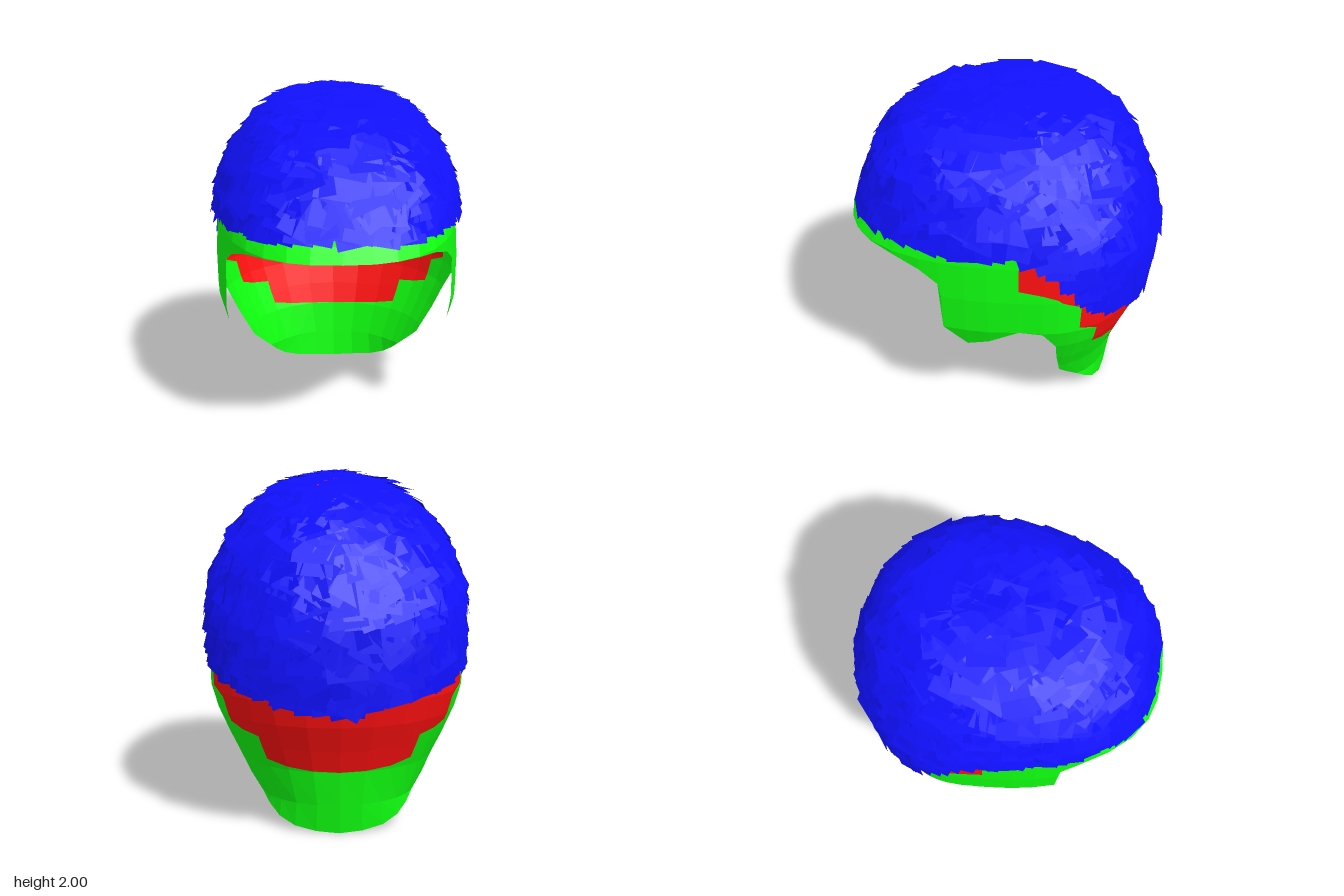
import * as THREE from 'three';

// Head sections from crown down: [height, half width, front z, back z]
const SECTIONS = [
  [1.96, 0, -0.02, -0.02], [1.945, 0.14, 0.16, -0.18], [1.905, 0.28, 0.34, -0.36],
  [1.82, 0.425, 0.52, -0.54], [1.65, 0.575, 0.7, -0.69], [1.45, 0.67, 0.79, -0.775],
  [1.3, 0.705, 0.85, -0.825], [1.22, 0.715, 0.91, -0.845], [1.0, 0.73, 0.91, -0.84],
  [0.78, 0.728, 0.9, -0.81], [0.65, 0.69, 0.88, -0.78], [0.5, 0.625, 0.8, -0.72],
  [0.37, 0.56, 0.7, -0.675], [0.17, 0.475, 0.5, -0.645], [0, 0.5, 0.4, -0.62],
];
// Hairline around one side:
// [degrees from front, rim height, top of the border here, and its top at the next column]
const RIM = [
  [0, 1.22, 1.34, 1.34], [8, 1.22, 1.34, 1.34], [17, 1.22, 1.34, 1.34], [28, 1.215, 1.34, 1.34],
  [39, 1.2, 1.34, 1.34], [50, 1.15, 1.34, 1.34], [56.5, 1.08, 1.34, 1.34], [57.5, 0.78, 1.34, 1.34],
  [65, 0.65, 1.34, 1.32], [72, 0.69, 1.32, 1.3], [81, 0.79, 1.08, 1.05], [88, 0.77, 1.05, 1.02],
  [94, 0.65, 1.02, 1.0], [96, 0.5, 1.0, 0.98], [100, 0.32, 0.98, 0.95], [106, 0.27, 0.8, 0.75],
  [117, 0.18, 0.61, 0.58], [126, 0.125, 0.58, 0.56], [137, 0.07, 0.42, 0.39], [150, 0.03, 0.39, 0.375],
  [165, 0.01, 0.375, 0.37], [180, 0, 0.37, 0.37],
];
// Lower edge of the tufts: [degrees from front, height]
const FRINGE = [[0, 1.28], [60, 1.27], [78, 1.26], [92, 1.2], [105, 1.03], [115, 0.88], [140, 0.81], [180, 0.7]];

const lerp = THREE.MathUtils.lerp, clamp = THREE.MathUtils.clamp;
let seed = 7;
const rand = () => (seed = (seed * 16807) % 2147483647) / 2147483647;
const jitter = (a) => (rand() * 2 - 1) * a;

function sectionAt(y) {
  let i = 0;
  while (i < SECTIONS.length - 2 && y < SECTIONS[i + 1][0]) i++;
  const a = SECTIONS[i], b = SECTIONS[i + 1];
  const t = clamp((a[0] - y) / (a[0] - b[0]), 0, 1);
  return a.map((v, k) => lerp(v, b[k], t));
}

// Point on the head surface; each section is an egg, fuller towards the front
function surface(deg, y) {
  const [h, w, front, back] = sectionAt(y);
  const c = Math.max(-0.2, -0.02 - 0.28 * (1.96 - h));
  const a = THREE.MathUtils.degToRad(deg), cos = Math.cos(a), sin = Math.sin(a);
  const x = w * Math.sign(sin) * Math.abs(sin) ** (cos > 0 ? 0.74 : 1);
  return new THREE.Vector3(x, h, c + cos * (cos > 0 ? front - c : c - back));
}

function fringeAt(deg) {
  const d = Math.abs(THREE.MathUtils.euclideanModulo(deg + 180, 360) - 180);
  let i = 0;
  while (i < FRINGE.length - 2 && d > FRINGE[i + 1][0]) i++;
  const [d0, y0] = FRINGE[i], [d1, y1] = FRINGE[i + 1];
  return lerp(y0, y1, (d - d0) / (d1 - d0));
}

// Two triangles, leaving out any that has collapsed to a line
function addQuad(out, a, b, c, d) {
  for (const tri of [[a, b, c], [a, c, d]]) {
    if (new THREE.Triangle(...tri).getArea() < 1e-7) continue;
    for (const p of tri) out.push(p.x, p.y, p.z);
  }
}

function makeMesh(name, positions, color) {
  const geometry = new THREE.BufferGeometry();
  geometry.setAttribute('position', new THREE.Float32BufferAttribute(positions, 3));
  geometry.computeVertexNormals();
  const material = new THREE.MeshStandardMaterial({ color, flatShading: true, side: THREE.DoubleSide });
  const mesh = new THREE.Mesh(geometry, material);
  mesh.name = name;
  return mesh;
}

// Under-layer cap and its stepped border, mirrored strip by strip
function buildBase() {
  const cap = [], border = [];
  const heights = SECTIONS.map((s) => s[0]);
  for (const side of [1, -1]) {
    for (let i = 0; i < RIM.length - 1; i++) {
      const [d0, r0, s0, s1] = RIM[i], [d1, r1] = RIM[i + 1];
      // Rows follow the section heights, cut off at the strip's own top and bottom edges
      const strip = (out, top0, top1, low0, low1) => {
        const levels = [[top0, top1], ...heights.map((y) => [clamp(y, low0, top0), clamp(y, low1, top1)]), [low0, low1]];
        for (let k = 0; k < levels.length - 1; k++) {
          const [t0, t1] = levels[k], [b0, b1] = levels[k + 1];
          const q = [surface(side * d0, t0), surface(side * d0, b0), surface(side * d1, b1), surface(side * d1, t1)];
          if (side < 0) q.reverse();
          addQuad(out, ...q);
        }
      };
      strip(cap, heights[0], heights[0], s0, s1);
      strip(border, s0, s1, r0, r1);
    }
  }
  return [makeMesh('hairCap', cap, 0xff1010), makeMesh('hairlineBorder', border, 0x10ff10)];
}

// One flat card lying on the surface, lower end lifted like a shingle
function addTuft(out, deg, y, width, length, turn) {
  const p = surface(deg, y);
  const across = surface(deg + 3, y).sub(surface(deg - 3, y)).normalize();
  const down = surface(deg, y - 0.05).sub(surface(deg, Math.min(y + 0.05, 1.96))).normalize();
  const normal = down.clone().cross(across).normalize();
  across.crossVectors(normal, down).normalize();
  across.applyAxisAngle(normal, turn);
  down.applyAxisAngle(normal, turn);
  const lift = 0.014 + rand() * 0.012, tilt = 0.004 + rand() * 0.016, roll = jitter(0.008);
  const corner = (u, v) => p.clone()
    .addScaledVector(across, u * width / 2)
    .addScaledVector(down, v * length / 2)
    .addScaledVector(normal, lift + v * tilt + u * roll);
  addQuad(out, corner(-1, -1), corner(-1, 1), corner(1, 1), corner(1, -1));
}

// Overlapping rows of tufts from crown to fringe
function buildTufts() {
  const out = [];
  const tuft = (deg, y) => addTuft(out, deg, y, 0.16 + rand() * 0.07, 0.17 + rand() * 0.06, jitter(0.6));
  for (let i = 0; i < 10; i++) {
    const [y0, w0] = SECTIONS[i], [y1, w1] = SECTIONS[i + 1];
    const rows = Math.ceil(Math.hypot(y1 - y0, w1 - w0) / 0.085);
    for (let r = 0; r < rows; r++) {
      const rowY = lerp(y0, y1, (r + 0.5) / rows);
      const n = Math.ceil(sectionAt(rowY)[1] * 76) + 3;
      for (let k = 0; k < n; k++) {
        const deg = (k + jitter(0.4)) * 360 / n;
        const y = rowY + jitter(0.3) * (y0 - y1) / rows;
        if (y > fringeAt(deg) + 0.12) tuft(deg, y);
      }
    }
  }
  // Closing row along the fringe
  for (let k = 0; k < 64; k++) {
    const deg = k * 360 / 64 + jitter(2);
    addTuft(out, deg, fringeAt(deg) + 0.11 + jitter(0.018), 0.16, 0.2, jitter(0.25));
  }
  return makeMesh('hairTufts', out, 0x1010ff);
}

export function createModel() {
  seed = 7;
  const group = new THREE.Group();
  group.name = 'hair';
  group.add(...buildBase(), buildTufts());
  return group;
}
